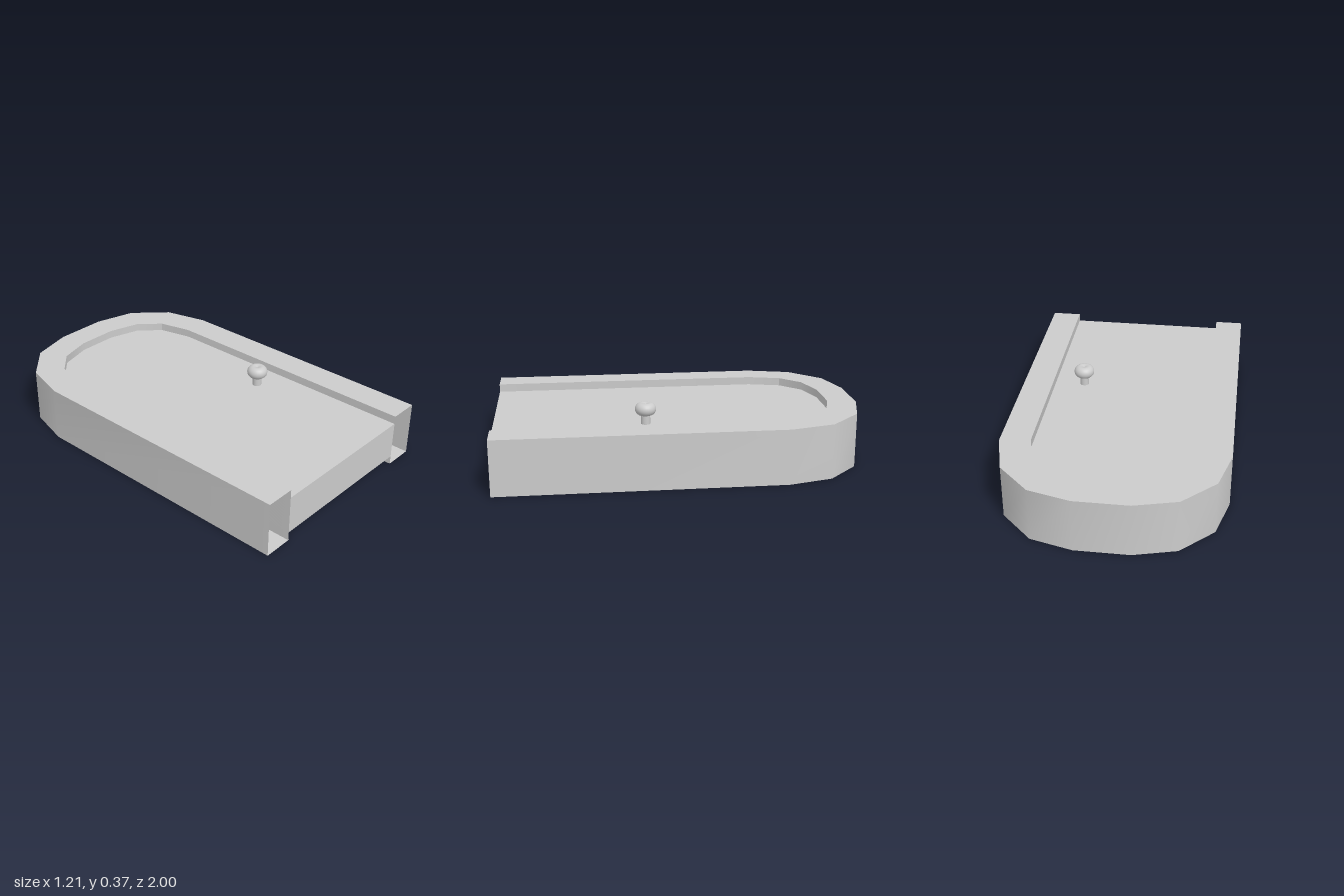
import * as THREE from 'three';
import { toCreasedNormals } from 'three/addons/utils/BufferGeometryUtils.js';

const HEIGHT = 0.3;
const material = new THREE.MeshStandardMaterial({ color: 0xcccccc, side: THREE.DoubleSide });

// Arch outline as (x, -z), from the right foot over the top to the left foot
function archOutline(half, shift = 0) {
  const right = half.map(([x, s]) => new THREE.Vector2(x + shift, s));
  const left = half.map(([x, s]) => new THREE.Vector2(-x + shift, s)).reverse();
  return [...right, ...left];
}

// Upright strip of wall that follows an outline
function wallGeometry(points, crease) {
  const position = [];
  const index = [];
  points.forEach((p, i) => {
    position.push(p.x, 0, -p.y, p.x, HEIGHT, -p.y);
    if (i === points.length - 1) return;
    const a = i * 2;
    index.push(a, a + 2, a + 3, a, a + 3, a + 1);
  });
  const geometry = new THREE.BufferGeometry();
  geometry.setAttribute('position', new THREE.Float32BufferAttribute(position, 3));
  geometry.setIndex(index);
  return toCreasedNormals(geometry, crease);
}

function addMesh(parent, name, geometry) {
  const mesh = new THREE.Mesh(geometry, material);
  mesh.name = name;
  parent.add(mesh);
  return mesh;
}

export function createModel() {
  const model = new THREE.Group();
  model.name = 'archedDoor';

  const outer = archOutline([[0.606, -1], [0.606, 0.53], [0.543, 0.77], [0.372, 0.94], [0.145, 1]]);
  const inner = archOutline([[0.445, -1], [0.445, 0.505], [0.399, 0.685], [0.289, 0.795], [0.112, 0.845]], -0.003);
  const innerReversed = [...inner].reverse();

  // Hollow frame, open at both feet
  const frame = new THREE.Group();
  frame.name = 'frame';
  model.add(frame);
  addMesh(frame, 'frameOuterWall', wallGeometry(outer, 0.7));
  addMesh(frame, 'frameInnerWall', wallGeometry(innerReversed, 0.53));
  const ring = new THREE.Shape([...outer, ...innerReversed]);
  const face = new THREE.ShapeGeometry(ring).rotateX(-Math.PI / 2);
  addMesh(frame, 'frameFrontFace', face).position.y = HEIGHT;
  addMesh(frame, 'frameBackFace', face.clone().rotateZ(Math.PI));

  // Door slab, recessed on both sides
  const slab = new THREE.ExtrudeGeometry(new THREE.Shape(inner), { depth: 0.207, bevelEnabled: false });
  addMesh(model, 'doorPanel', slab.rotateX(-Math.PI / 2)).position.y = 0.048;

  // Knob: short stem and a flattened round grip with a shallow dimple
  const knob = new THREE.Group();
  knob.name = 'doorKnob';
  knob.position.set(0.275, 0, 0.19);
  model.add(knob);
  const stem = new THREE.CylinderGeometry(0.025, 0.025, 0.06, 20, 1, true);
  addMesh(knob, 'knobStem', stem).position.y = 0.283;
  const grip = [[0, 0.303]];
  for (let i = 0; i <= 12; i++) {
    const a = -Math.PI / 2 + (Math.PI * i) / 12;
    grip.push([0.023 + 0.034 * Math.cos(a), 0.337 + 0.034 * Math.sin(a)]);
  }
  grip.push([0.012, 0.368], [0, 0.363]);
  addMesh(knob, 'knobGrip', new THREE.LatheGeometry(grip.map(([r, y]) => new THREE.Vector2(r, y)), 28));

  return model;
}
